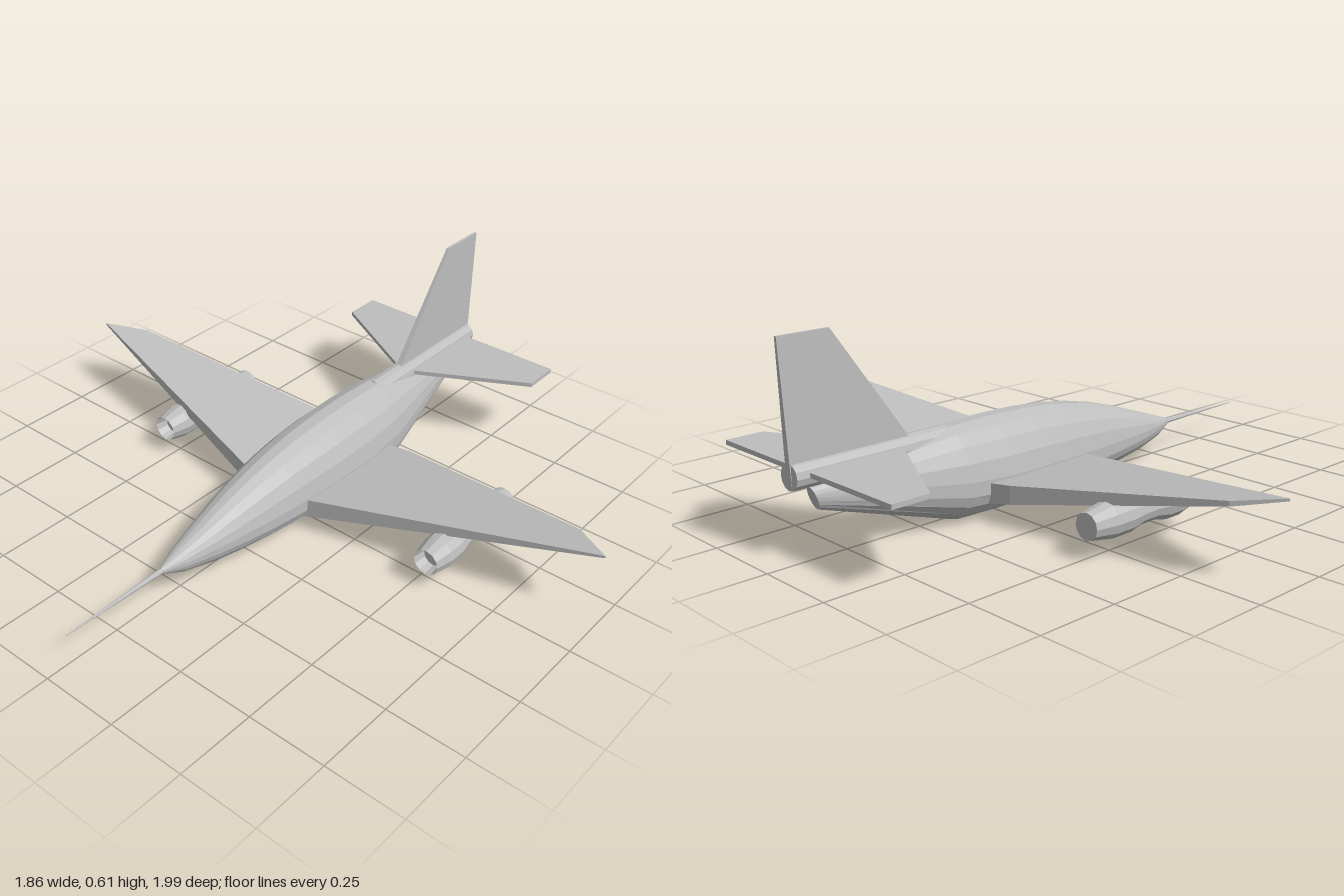
import * as THREE from 'three';

// Closed flat-faced skin through a list of rings with equal point counts
function loft(rings) {
  const n = rings[0].length, tris = [];
  for (let i = 0; i < rings.length - 1; i++) {
    for (let j = 0; j < n; j++) {
      const k = (j + 1) % n, a = rings[i], b = rings[i + 1];
      tris.push([a[j], b[j], a[k]], [b[j], b[k], a[k]]);
    }
  }
  const first = rings[0], last = rings[rings.length - 1];
  for (let j = 1; j < n - 1; j++) {
    tris.push([first[0], first[j], first[j + 1]], [last[0], last[j + 1], last[j]]);
  }
  // turn the faces outward if the rings ran the other way round
  const volume = tris.reduce((s, [a, b, c]) => s + a.dot(b.clone().cross(c)), 0);
  if (volume < 0) tris.forEach((t) => t.reverse());
  const geo = new THREE.BufferGeometry().setFromPoints(tris.flat());
  geo.computeVertexNormals();
  return geo;
}

export function createModel() {
  const model = new THREE.Group();
  model.name = 'jetAircraft';
  const grey = new THREE.MeshStandardMaterial({ color: 0xbdbdbd, flatShading: true });
  grey.name = 'airframe grey';
  const V = (x, y, z) => new THREE.Vector3(x, y, z);
  const add = (name, geo) => {
    const mesh = new THREE.Mesh(geo, grey);
    mesh.name = name;
    model.add(mesh);
    return mesh;
  };

  // Fuselage sections: x, bottom, widest height, top, half width, end slant
  const sections = [
    [-0.57, 0.094, 0.104, 0.114, 0.009],
    [-0.5, 0.062, 0.103, 0.139, 0.036],
    [-0.4, 0.04, 0.102, 0.174, 0.062],
    [-0.3, 0.028, 0.101, 0.209, 0.083],
    [-0.2, 0.02, 0.1, 0.238, 0.1],
    [-0.1, 0.014, 0.1, 0.26, 0.113],
    [0, 0.01, 0.1, 0.275, 0.122],
    [0.12, 0.007, 0.1, 0.285, 0.129],
    [0.25, 0.004, 0.1, 0.288, 0.13],
    [0.4, 0.004, 0.11, 0.284, 0.118],
    [0.85, 0.14, 0.175, 0.208, 0.021, 0.012],
  ];
  const SIDES = 20;
  add('fuselage', loft(sections.map(([x, lo, mid, hi, w, slant = 0]) =>
    Array.from({ length: SIDES }, (_, i) => {
      const t = ((i + 0.5) / SIDES) * Math.PI * 2, s = Math.sin(t);
      return V(x + slant * s, mid + s * (s > 0 ? hi - mid : mid - lo), w * Math.cos(t));
    }))));

  // Nose probe
  const probe = new THREE.CylinderGeometry(0.009, 0.0015, 0.36, 8);
  probe.rotateZ(-Math.PI / 2);
  add('noseProbe', probe).position.set(-0.74, 0.104, 0);

  // Tail boom along the top of the rear fuselage
  const boom = new THREE.CylinderGeometry(0.038, 0.038, 0.52, 12);
  boom.rotateZ(-Math.PI / 2);
  add('tailBoom', boom).position.set(0.66, 0.247, 0);

  // Fin, thinning toward its tip
  const finOutline = [[0.52, 0.257], [0.78, 0.62], [0.94, 0.62], [0.92, 0.212]];
  add('fin', loft([-1, 1].map((s) =>
    finOutline.map(([x, y]) => V(x, y, s * (0.011 - 0.018 * (y - 0.25)))))));

  const wingOutline = [[-0.09, 0], [0.14, 0.995], [0.22, 0.872], [0.335, 0.2], [0.335, 0]];
  const tailOutline = [[0.555, 0], [0.76, 0.375], [0.88, 0.375], [0.88, 0]];

  // Engine pod profile: radius, distance from the intake, with a recessed intake
  const podProfile = [
    [0, 0.04], [0.034, 0.04], [0.041, 0], [0.053, 0.06], [0.053, 0.115],
    [0.043, 0.16], [0.043, 0.215], [0.052, 0.26], [0.052, 0.33], [0.039, 0.405], [0, 0.405],
  ].map(([r, d]) => new THREE.Vector2(r, d));

  for (const side of [1, -1]) {
    const name = side > 0 ? 'near' : 'far';
    // Wing slab rising and thinning toward the tip
    add(name + 'Wing', loft([
      wingOutline.map(([x, z]) => V(x, 0.038 + 0.205 * z, side * z)),
      wingOutline.map(([x, z]) => V(x, 0.106 + 0.144 * z, side * z)),
    ]));
    // Tailplane
    add(name + 'Tailplane', loft([0.245, 0.259].map((y) =>
      tailOutline.map(([x, z]) => V(x, y, side * z)))));
    // Engine pod under the wing
    const pod = new THREE.LatheGeometry(podProfile, 12);
    pod.rotateZ(-Math.PI / 2);
    add(name + 'Engine', pod).position.set(-0.05, 0.103, side > 0 ? 0.545 : -0.515);
  }
  return model;
}
